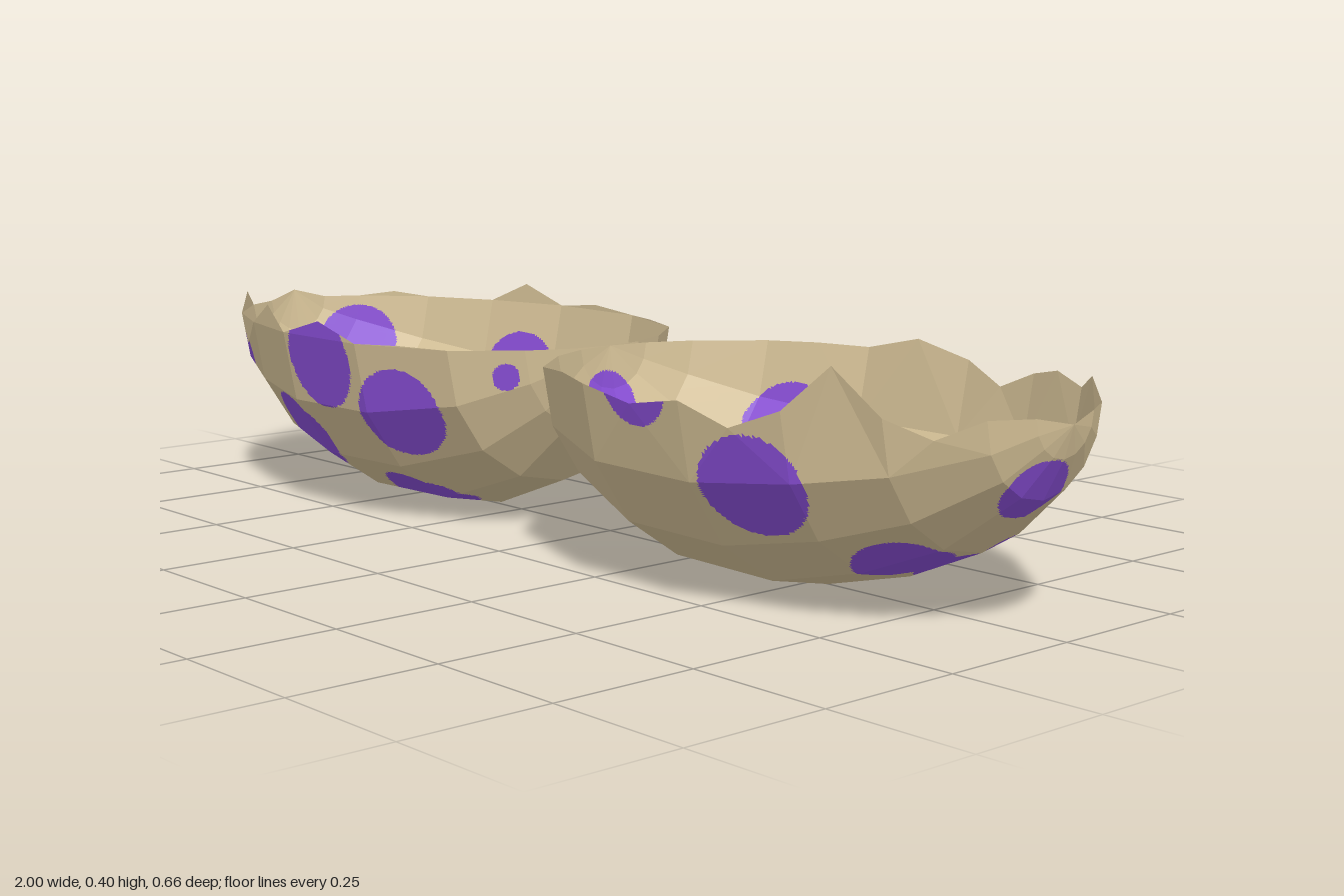
import * as THREE from 'three';

const RIM = 0.33, SIDES = 8;

// Egg profile: distance along the axis from the blunt end, radius
const PROFILE = [[0, 0], [0.01, 0.075], [0.045, 0.155], [0.13, 0.258], [0.31, 0.326], [0.53, 0.33],
  [0.7, 0.287], [0.84, 0.226], [0.95, 0.13], [0.985, 0.065], [1, 0]];

// Broken rim: heights of the edge midpoints from profile point 3 on; tip is the height of the pointed end
// Spots: distance along the axis, angle from the front rim under the shell, radius
const HALVES = [
  {
    name: 'leftShellHalf', side: 1, tip: 0.317,
    front: [0.335, 0.312, 0.297, 0.4, 0.3], back: [0.332, 0.355, 0.297, 0.345, 0.358],
    spots: [[0.2, 148, 0.085], [0.69, 146, 0.09], [0.19, 95, 0.082], [0.18, 62, 0.07], [0.43, 92, 0.035],
      [0.77, 101, 0.085], [0.76, 71, 0.078], [0.63, 25, 0.09], [0.43, -4, 0.075], [0.955, 80, 0.06],
      [0.02, 80, 0.055]],
  },
  {
    name: 'rightShellHalf', side: -1, tip: 0.347,
    front: [0.332, 0.36, 0.372, 0.28, 0.365], back: [0.332, 0.34, 0.368, 0.315, 0.34],
    spots: [[0.93, 139, 0.08], [0.87, 101, 0.025], [0.85, 31, 0.08], [0.585, 40, 0.092], [0.25, 25, 0.088],
      [0.37, 69, 0.092], [0.43, 7, 0.092], [0.26, 119.5, 0.09], [0.605, 152, 0.09], [0.4, 152, 0.072],
      [0.035, 120, 0.078], [0.07, 15, 0.024]],
  },
];

function radiusAt(x) {
  const i = Math.max(1, PROFILE.findIndex(p => p[0] >= x));
  const [a, b] = [PROFILE[i - 1], PROFILE[i]];
  return a[1] + (b[1] - a[1]) * (x - a[0]) / (b[0] - a[0]);
}

function shellPoint(x, r, degrees, side) {
  const t = THREE.MathUtils.degToRad(degrees);
  return new THREE.Vector3(side * x, RIM - r * Math.sin(t), r * Math.cos(t));
}

// Flat facets of one half shell, as triangles facing outward
function shellTriangles({ side, tip, front, back }) {
  const tris = [];
  const last = PROFILE.length - 1;
  const point = (i, j) => {
    const p = shellPoint(...PROFILE[i], j * 180 / SIDES, side);
    if (i === last) p.y = tip;
    return p;
  };
  const add = (...corners) => {
    if (side < 0) corners.reverse();
    for (let k = 1; k < corners.length - 1; k++) tris.push([corners[0], corners[k], corners[k + 1]]);
  };
  for (let i = 0; i < last; i++) {
    for (let j = 0; j < SIDES; j++) {
      const a = point(i, j), b = point(i + 1, j), c = point(i + 1, j + 1), d = point(i, j + 1);
      const heights = j === 0 ? front : j === SIDES - 1 ? back : [];
      const h = heights[i - 3];
      if (i === 0) add(a, c, b);
      else if (i === last - 1) add(a, d, b);
      else if (h === undefined) add(a, d, c, b);
      else if (j === 0) {
        // jagged front rim
        const m = a.clone().lerp(b, 0.5).setY(h);
        add(m, a, d, c, b);
      } else {
        // jagged back rim
        const m = c.clone().lerp(d, 0.5).setY(h);
        add(m, c, b, a, d);
      }
    }
  }
  return tris;
}

// Split facets along the outlines of the spots and sort the pieces by colour
function splitBySpots(tris, spots) {
  const plain = [], spotted = [];
  const visit = ([a, b, c]) => {
    const mid = a.clone().add(b).add(c).divideScalar(3);
    const reach = Math.max(mid.distanceTo(a), mid.distanceTo(b), mid.distanceTo(c));
    const gaps = spots.map(s => mid.distanceTo(s.centre) - s.radius);
    if (reach > 0.005 && gaps.some(g => Math.abs(g) < reach)) {
      const ab = a.clone().lerp(b, 0.5), bc = b.clone().lerp(c, 0.5), ca = c.clone().lerp(a, 0.5);
      [[a, ab, ca], [ab, b, bc], [ca, bc, c], [ab, bc, ca]].forEach(visit);
    } else {
      (Math.min(...gaps) < 0 ? spotted : plain).push(a, b, c);
    }
  };
  tris.forEach(visit);
  return { plain, spotted };
}

function facetMesh(name, points, material) {
  const geometry = new THREE.BufferGeometry().setFromPoints(points);
  geometry.computeVertexNormals();
  const mesh = new THREE.Mesh(geometry, material);
  mesh.name = name;
  return mesh;
}

export function createModel() {
  const shell = new THREE.MeshStandardMaterial({ color: 0xd6c298, flatShading: true, side: THREE.DoubleSide });
  shell.name = 'tan shell';
  const purple = new THREE.MeshStandardMaterial({ color: 0x8a4fd8, flatShading: true, side: THREE.DoubleSide });
  purple.name = 'purple spots';

  const model = new THREE.Group();
  model.name = 'brokenEggshell';
  for (const half of HALVES) {
    const spots = half.spots.map(([x, angle, radius]) => ({
      centre: shellPoint(x, radiusAt(x) * 0.985, angle, half.side), radius,
    }));
    const { plain, spotted } = splitBySpots(shellTriangles(half), spots);
    const group = new THREE.Group();
    group.name = half.name;
    group.add(facetMesh('shell', plain, shell), facetMesh('spots', spotted, purple));
    model.add(group);
  }
  return model;
}
